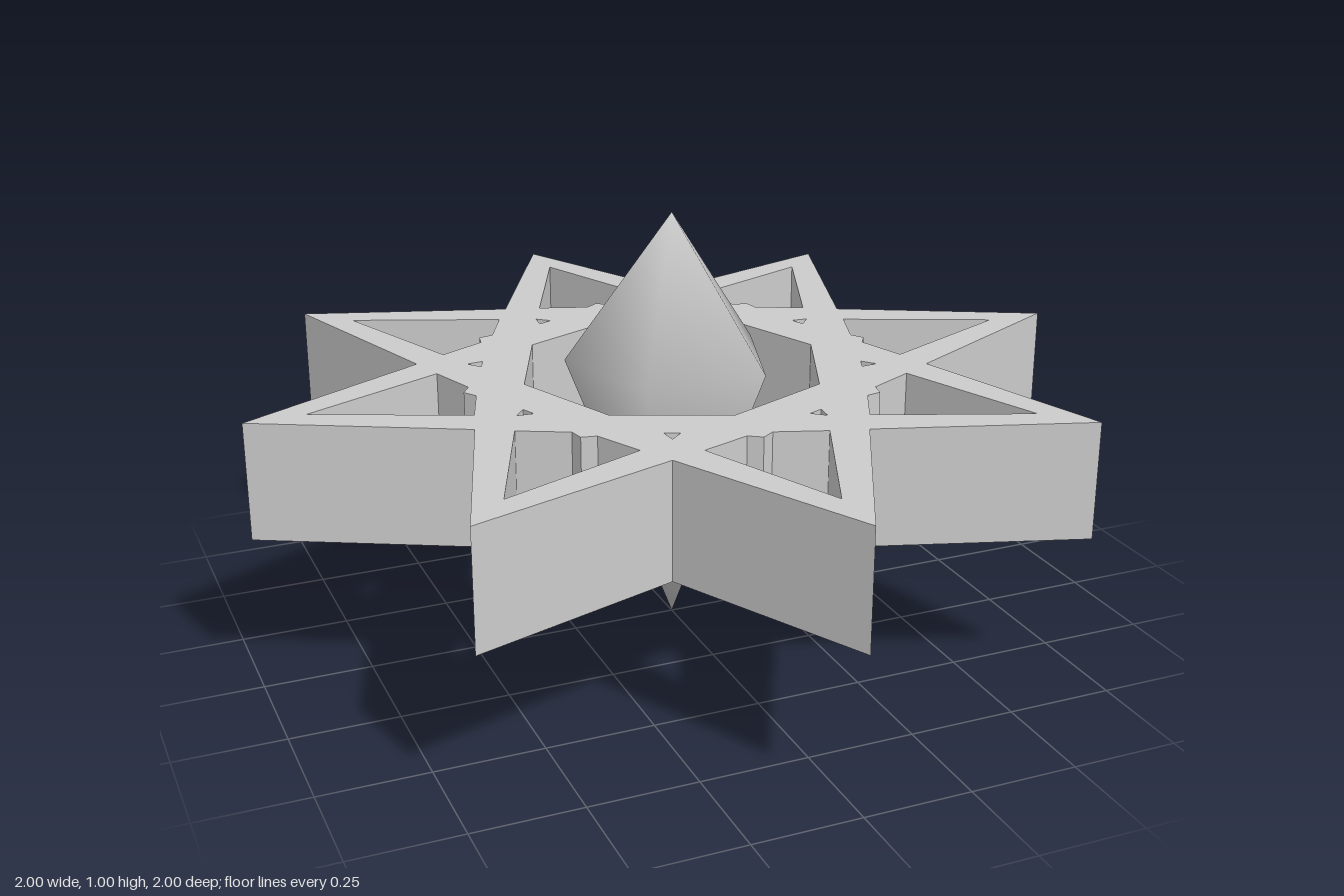
import * as THREE from 'three';

const STAR_BOTTOM = 0.37, STAR_HEIGHT = 0.275;
const ARMS = 8, STEP = Math.PI * 2 / ARMS;

// point given as (across, outward) relative to an arm turned by angle
function turned([x, y], angle) {
  return new THREE.Vector2(x, y).rotateAround(new THREE.Vector2(), angle);
}

function starFrame(material) {
  const outline = [], centre = [];
  const shape = new THREE.Shape();
  // spike opening with a small nib at the middle of its base
  const spike = [[0, 0.86], [-0.145, 0.525], [-0.03, 0.485], [0, 0.505], [0.03, 0.485], [0.145, 0.525]];
  // tiny triangular opening between two spikes
  const chip = [[0, 0.478], [-0.018, 0.443], [0.018, 0.443]];
  for (let i = 0; i < ARMS; i++) {
    const a = i * STEP;
    outline.push(turned([0, 1], a), turned([0, 0.595], a + STEP / 2));
    centre.push(turned([0, 0.362], a));
    shape.holes.push(new THREE.Path(spike.map(p => turned(p, a))));
    shape.holes.push(new THREE.Path(chip.map(p => turned(p, a + STEP / 2))));
  }
  shape.setFromPoints(outline);
  shape.holes.push(new THREE.Path(centre));
  const geometry = new THREE.ExtrudeGeometry(shape, { depth: STAR_HEIGHT, bevelEnabled: false });
  geometry.rotateX(-Math.PI / 2);
  geometry.translate(0, STAR_BOTTOM, 0);
  const mesh = new THREE.Mesh(geometry, material);
  mesh.name = 'starFrame';
  return mesh;
}

// five-sided double pyramid with shared vertices for smooth shading
function crystal(material) {
  const sides = 5, radius = 0.25;
  const positions = [0, 1.01, 0, 0, 0.005, 0], index = [];
  for (let i = 0; i < sides; i++) {
    const a = i * Math.PI * 2 / sides;
    positions.push(-radius * Math.sin(a), 0.662, -radius * Math.cos(a));
    const p = 2 + i, q = 2 + (i + 1) % sides;
    index.push(0, p, q, 1, q, p);
  }
  const geometry = new THREE.BufferGeometry();
  geometry.setAttribute('position', new THREE.Float32BufferAttribute(positions, 3));
  geometry.setIndex(index);
  geometry.computeVertexNormals();
  const mesh = new THREE.Mesh(geometry, material);
  mesh.name = 'crystal';
  return mesh;
}

export function createModel() {
  const material = new THREE.MeshStandardMaterial({ color: 0xcccccc });
  const group = new THREE.Group();
  group.name = 'starWithCrystal';
  group.add(starFrame(material), crystal(material));
  return group;
}
